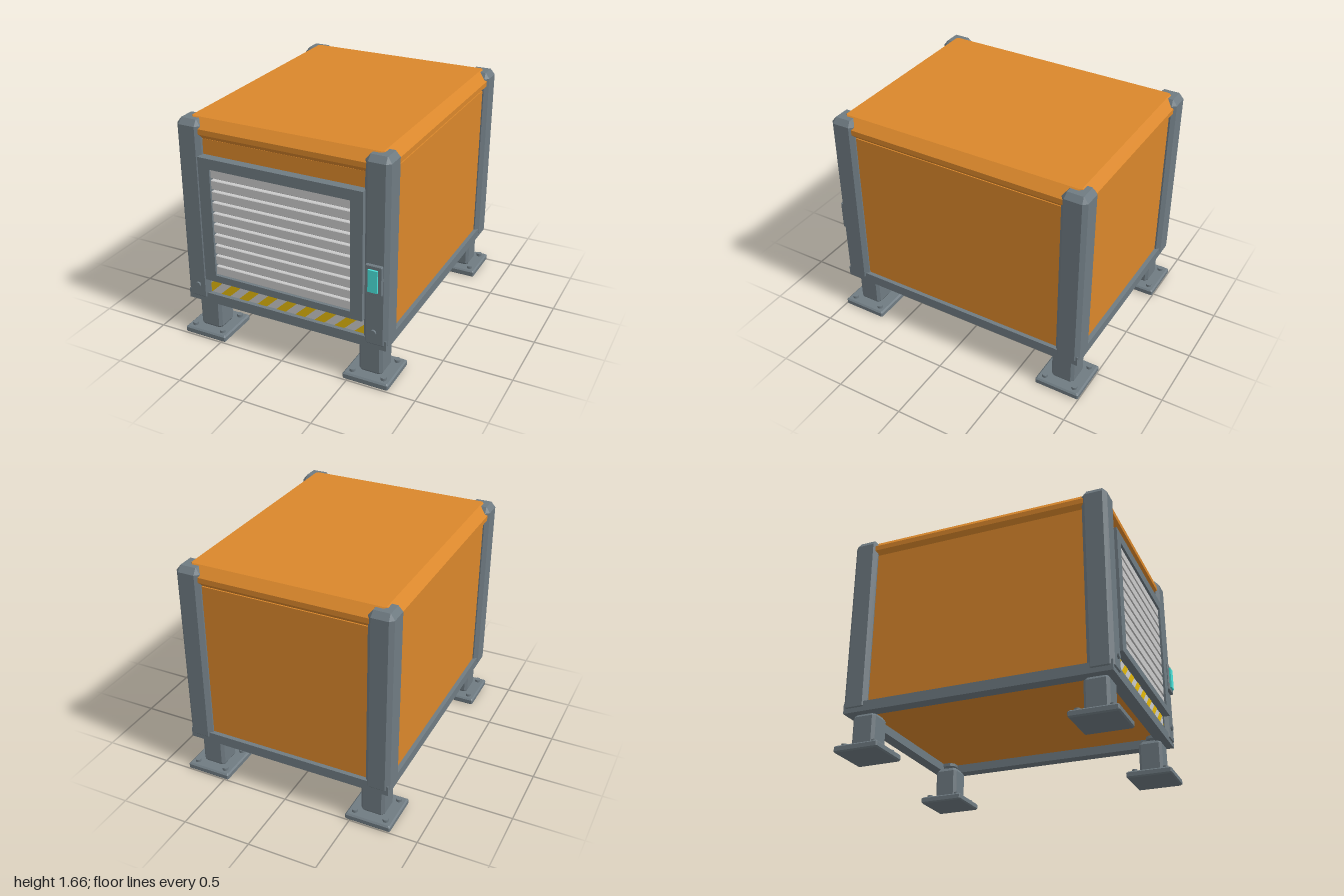
import * as THREE from 'three';

const paint = (name, color) => Object.assign(new THREE.MeshStandardMaterial({ color }), { name });

// Solid lofted upwards through rectangles [y, halfX, halfZ, cornerCut]
function loft(levels) {
  const rings = levels.map(([y, hx, hz, c = 0]) => {
    const p = c > 0
      ? [[hx - c, hz], [hx, hz - c], [hx, c - hz], [hx - c, -hz], [c - hx, -hz], [-hx, c - hz], [-hx, hz - c], [c - hx, hz]]
      : [[hx, hz], [hx, -hz], [-hx, -hz], [-hx, hz]];
    return p.map(([x, z]) => [x, y, z]);
  });
  const pos = [];
  const tri = (...pts) => pts.forEach((p) => pos.push(...p));
  const n = rings[0].length;
  for (let r = 0; r < rings.length - 1; r++) {
    for (let i = 0; i < n; i++) {
      const j = (i + 1) % n, lo = rings[r], hi = rings[r + 1];
      tri(lo[i], lo[j], hi[j]);
      tri(lo[i], hi[j], hi[i]);
    }
  }
  const top = rings[rings.length - 1], bottom = rings[0];
  for (let i = 1; i < n - 1; i++) {
    tri(top[0], top[i], top[i + 1]);
    tri(bottom[0], bottom[i + 1], bottom[i]);
  }
  const g = new THREE.BufferGeometry();
  g.setAttribute('position', new THREE.Float32BufferAttribute(pos, 3));
  g.computeVertexNormals();
  return g;
}

// Rectangular plate with a rectangular opening, extruded along z
function ringPlate(outer, inner, depth) {
  const rect = (C, [x0, y0, x1, y1]) => new C([[x0, y0], [x1, y0], [x1, y1], [x0, y1]].map((p) => new THREE.Vector2(...p)));
  const shape = rect(THREE.Shape, outer);
  shape.holes.push(rect(THREE.Path, inner));
  return new THREE.ExtrudeGeometry(shape, { depth, bevelEnabled: false });
}

// Keeps the part of a convex outline on one side of x = limit
function clip(points, limit, side) {
  const out = [];
  points.forEach((a, i) => {
    const b = points[(i + 1) % points.length];
    const da = (a[0] - limit) * side, db = (b[0] - limit) * side;
    if (da >= 0) out.push(a);
    if (da * db < 0) {
      const t = da / (da - db);
      out.push([limit, a[1] + (b[1] - a[1]) * t]);
    }
  });
  return out;
}

export function createModel() {
  const orange = paint('orange panel', 0xda872b);
  const steel = paint('grey steel', 0x6f7b82);
  const silver = paint('light grey', 0xcacaca);
  const yellow = paint('warning yellow', 0xe4b90c);
  const teal = paint('teal display', 0x4ae2da);

  const model = new THREE.Group();
  model.name = 'storageUnit';
  const add = (name, geometry, material, x = 0, y = 0, z = 0, parent = model) => {
    const mesh = new THREE.Mesh(geometry, material);
    mesh.name = name;
    mesh.position.set(x, y, z);
    parent.add(mesh);
    return mesh;
  };
  const box = (w, h, d) => new THREE.BoxGeometry(w, h, d);
  const midZ = -0.005;

  // Body resting on the frame, and overhanging roof with its corners cut away inside the posts
  add('body', box(1.472, 1.17, 1.852), orange, 0, 0.935, midZ - 0.004);
  add('roof', loft([
    [1.52, 0.728, 0.92, 0.08], [1.555, 0.76, 0.953, 0.115],
    [1.592, 0.76, 0.953, 0.115], [1.657, 0.693, 0.893, 0.012],
  ]), orange, 0, 0, midZ);

  // Base frame, open underneath
  const frame = ringPlate([-0.766, -0.962, 0.766, 0.962], [-0.675, -0.875, 0.675, 0.875], 0.073);
  add('baseFrame', frame, steel, 0, 0.286, midZ).rotation.x = -Math.PI / 2;

  // Corner posts, legs and feet
  const postGeo = loft([
    [0.314, 0.076, 0.08, 0.025], [0.327, 0.088, 0.091, 0.028],
    [1.61, 0.088, 0.091, 0.028], [1.65, 0.058, 0.058, 0.002],
  ]);
  const legGeo = loft([
    [0.045, 0.075, 0.075, 0.02], [0.065, 0.087, 0.087, 0.02],
    [0.268, 0.087, 0.087, 0.02], [0.295, 0.068, 0.068, 0.016],
  ]);
  const padGeo = loft([
    [0, 0.158, 0.158, 0.005], [0.01, 0.167, 0.167, 0.008],
    [0.04, 0.167, 0.167, 0.008], [0.05, 0.156, 0.156, 0.005],
  ]);
  const footBolt = new THREE.CylinderGeometry(0.021, 0.021, 0.026, 12);
  const postBolt = new THREE.CylinderGeometry(0.02, 0.02, 0.024, 16).rotateX(Math.PI / 2);
  for (const sx of [-1, 1]) {
    for (const sz of [-1, 1]) {
      add('cornerPost', postGeo, steel, sx * 0.685, 0, midZ + sz * 0.879);
      const foot = new THREE.Group();
      foot.name = 'foot';
      foot.position.set(sx * 0.633, 0, sz * 0.83 - 0.003);
      model.add(foot);
      add('leg', legGeo, steel, 0, 0, 0, foot);
      add('footPad', padGeo, steel, 0, 0, 0, foot);
      for (const bx of [-1, 1]) {
        for (const bz of [-1, 1]) add('footBolt', footBolt, steel, bx * 0.115, 0.057, bz * 0.115, foot);
      }
    }
    add('postBolt', postBolt, steel, sx * 0.68, 0.415, 0.967);
  }

  // Shutter with surrounding frame
  add('shutterFrame', ringPlate([-0.604, 0.483, 0.604, 1.41], [-0.517, 0.535, 0.517, 1.335], 0.085), steel, 0, 0, 0.895);
  const slat = loft([
    [-0.033, 0.517, 0.028], [-0.029, 0.517, 0.032], [0.029, 0.517, 0.032], [0.033, 0.517, 0.028],
  ]);
  for (let i = 0; i < 10; i++) add('shutterSlat', slat, silver, 0, 0.57 + i * 0.0812, 0.933);

  // Warning strip with slanted stripes
  const y0 = 0.358, y1 = 0.484, half = 0.599, pitch = 0.149;
  add('warningStrip', box(half * 2, y1 - y0, 0.008), silver, 0, (y0 + y1) / 2, 0.922);
  for (let i = -1; i < 9; i++) {
    const x = -half - 0.07 + i * pitch;
    let pts = [[x, y0], [x + 0.075, y0], [x + 0.204, y1], [x + 0.129, y1]];
    pts = clip(clip(pts, -half, 1), half, -1);
    if (pts.length < 3) continue;
    const shape = new THREE.Shape(pts.map((p) => new THREE.Vector2(...p)));
    add('warningStripe', new THREE.ShapeGeometry(shape), yellow, 0, 0, 0.9285);
  }

  // Control panel on the left front post
  const panel = loft([[0, 0.06, 0.107, 0.006], [0.022, 0.06, 0.107, 0.006], [0.027, 0.056, 0.103, 0.005]]);
  panel.rotateX(Math.PI / 2);
  add('controlPanel', panel, steel, 0.682, 0.812, 0.96);
  add('display', box(0.068, 0.16, 0.018), teal, 0.682, 0.812, 0.991);

  return model;
}
